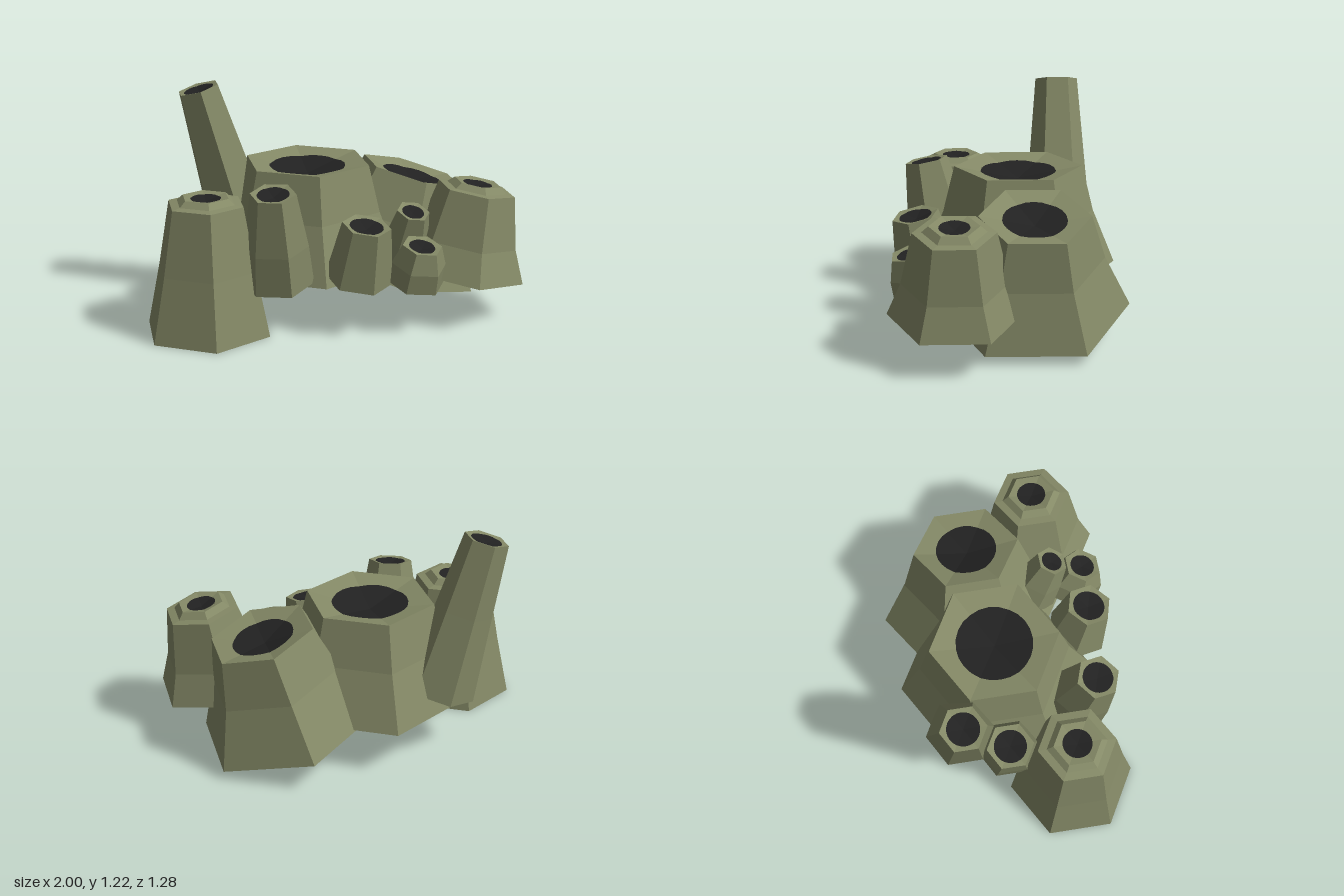
import * as THREE from 'three';

const shell = new THREE.MeshStandardMaterial({ color: 0x858a67, flatShading: true, side: THREE.DoubleSide });
shell.name = 'olive shell';
const dark = new THREE.MeshStandardMaterial({ color: 0x222222, flatShading: true, side: THREE.DoubleSide });
dark.name = 'dark opening';

// 1 on the edge of a hexagon with corner radius R (corners on +z and -z), 0 at its centre
function hexNorm(x, z, R) {
  let m = 0;
  for (let k = 0; k < 3; k++) {
    const a = k * Math.PI / 3;
    m = Math.max(m, Math.abs(x * Math.cos(a) + z * Math.sin(a)));
  }
  return m / (R * Math.cos(Math.PI / 6));
}

// Lay a disc or ring flat, stretch its outer edge to the hexagon and dip it towards the centre
function dip(geometry, R, hole) {
  geometry.rotateX(-Math.PI / 2);
  const p = geometry.attributes.position;
  for (let i = 0; i < p.count; i++) {
    let x = p.getX(i), z = p.getZ(i);
    if (Math.hypot(x, z) > hole + 1e-4) {
      const n = hexNorm(x, z, R);
      x /= n;
      z /= n;
    }
    p.setXYZ(i, x, -0.2 * R * (1 - hexNorm(x, z, R)), z);
  }
  geometry.computeVertexNormals();
  return geometry;
}

// Six-sided open-bottomed cone from base to top; profile holds [radius, fraction of height]
function makeCone({ name, base, top, profile, hole, spin = 0 }) {
  const from = new THREE.Vector3(...base);
  const axis = new THREE.Vector3(...top).sub(from);
  const height = axis.length();
  const R = profile[profile.length - 1][0];
  const tipY = profile[profile.length - 1][1] * height;

  const body = new THREE.Mesh(
    new THREE.LatheGeometry(profile.map(([r, t]) => new THREE.Vector2(r, t * height)), 6), shell);
  body.name = 'wall';
  const rim = new THREE.Mesh(dip(new THREE.RingGeometry(hole, R, 24, 1), R, hole), shell);
  rim.name = 'rim';
  const mouth = new THREE.Mesh(dip(new THREE.CircleGeometry(hole, 24), R, hole), dark);
  mouth.name = 'opening';
  rim.position.y = mouth.position.y = tipY;

  const cone = new THREE.Group();
  cone.name = name;
  cone.add(body, rim, mouth);
  cone.position.copy(from);
  cone.quaternion.setFromUnitVectors(new THREE.Vector3(0, 1, 0), axis.normalize());
  cone.rotateY(spin);
  return cone;
}

// Profile with a stepped lip around the opening; mid is the height of the bend
const lipped = (mid, lip) => [[0.352, 0], [0.277, mid], [0.213, 1], [0.165, 1.01], [0.13, 1 + lip]];

const cones = [
  // large cones
  { name: 'largeCone', base: [-0.09, 0.25, -0.063], top: [-0.09, 0.813, -0.063],
    profile: [[0.543, 0], [0.42, 0.54], [0.356, 1]], hole: 0.21 },
  { name: 'largeTiltedCone', base: [0.378, 0.17, -0.123], top: [0.53, 0.707, -0.127],
    profile: [[0.522, 0], [0.375, 0.54], [0.295, 1]], hole: 0.17 },
  // lipped cones
  { name: 'rightLippedCone', base: [-0.695, 0, 0.286], top: [-0.695, 0.7, 0.286],
    profile: lipped(0.5, 0.053), hole: 0.08 },
  { name: 'leftLippedCone', base: [0.7, 0.245, 0.286], top: [0.778, 0.7, 0.286],
    profile: lipped(0.38, 0.08), hole: 0.08 },
  // tall chimney
  { name: 'chimney', base: [-0.415, 0.32, -0.307], top: [-0.657, 1.193, -0.307],
    profile: [[0.2, 0], [0.157, 0.54], [0.122, 1]], hole: 0.085 },
  // small cones
  { name: 'smallSideCone', base: [-0.53, 0.27, -0.06], top: [-0.617, 0.59, -0.06],
    profile: [[0.175, 0], [0.16, 0.5], [0.13, 1]], hole: 0.09 },
  { name: 'slimFrontCone', base: [-0.325, 0.27, 0.36], top: [-0.366, 0.782, 0.455],
    profile: [[0.19, 0], [0.172, 0.42], [0.122, 1]], hole: 0.085, spin: 0.2 },
  { name: 'smallFrontCone', base: [0.09, 0.285, 0.445], top: [0.118, 0.597, 0.505],
    profile: [[0.18, 0], [0.155, 0.5], [0.13, 1]], hole: 0.09, spin: 0.25 },
  { name: 'tinyBackCone', base: [0.37, 0.28, 0.22], top: [0.41, 0.61, 0.345],
    profile: [[0.15, 0], [0.125, 0.5], [0.09, 1]], hole: 0.06, spin: Math.PI / 6 },
  { name: 'tinyFrontCone', base: [0.39, 0.265, 0.475], top: [0.413, 0.475, 0.528],
    profile: [[0.16, 0], [0.15, 0.5], [0.108, 1]], hole: 0.07, spin: Math.PI / 6 },
];

export function createModel() {
  const model = new THREE.Group();
  model.name = 'coneCluster';
  for (const c of cones) model.add(makeCone(c));
  return model;
}
